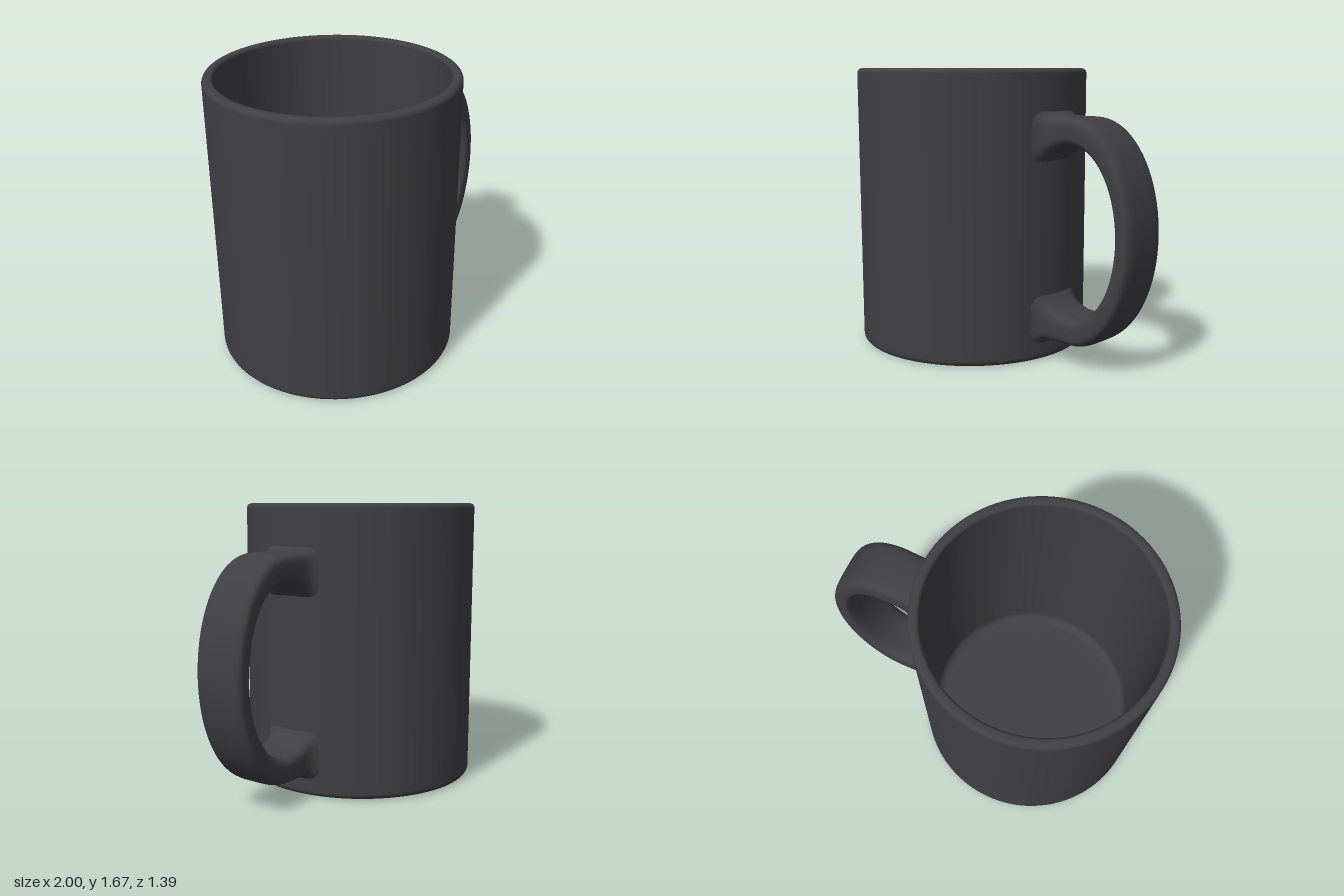
import * as THREE from 'three';

const ceramic = new THREE.MeshStandardMaterial({ color: 0x403f44 });
ceramic.name = 'charcoal ceramic';

const CUP_X = -0.303, RADIUS = 0.697, HEIGHT = 1.67;

// Rounded corner points on a lathe profile, from angle a0 to a1
function corner(cx, cy, r, a0, a1, steps = 6) {
  return Array.from({ length: steps + 1 }, (_, i) => {
    const a = THREE.MathUtils.degToRad(a0 + (a1 - a0) * i / steps);
    return new THREE.Vector2(cx + r * Math.cos(a), cy + r * Math.sin(a));
  });
}

// Hollow cup: recessed base, outer wall, rounded lip, inner wall and floor
function createCup() {
  const inner = 0.637;
  const profile = [
    new THREE.Vector2(0, 0.025),
    new THREE.Vector2(0.3, 0.025),
    new THREE.Vector2(0.54, 0.025),
    new THREE.Vector2(0.57, 0.02),
    new THREE.Vector2(0.6, 0.004),
    new THREE.Vector2(0.625, 0),
    ...corner(RADIUS - 0.035, 0.035, 0.035, -90, 0),
    new THREE.Vector2(RADIUS, 0.08),
    new THREE.Vector2(RADIUS, HEIGHT - 0.07),
    ...corner(RADIUS - 0.028, HEIGHT - 0.028, 0.028, 0, 90),
    ...corner(inner + 0.02, HEIGHT - 0.02, 0.02, 90, 180),
    new THREE.Vector2(inner, HEIGHT - 0.07),
    new THREE.Vector2(inner, 0.2),
    ...corner(inner - 0.06, 0.14, 0.06, 0, -90),
    new THREE.Vector2(0.5, 0.08),
    new THREE.Vector2(0, 0.08),
  ];
  const cup = new THREE.Mesh(new THREE.LatheGeometry(profile, 96), ceramic);
  cup.name = 'cup';
  cup.position.x = CUP_X;
  return cup;
}

// Handle sections: outer edge x,y, inner edge x,y, half width (y from the handle's middle)
function handleSections() {
  const top = [
    [0.335, 0.71, 0.335, 0.32, 0.225],
    [0.365, 0.69, 0.365, 0.355, 0.195],
    [0.39, 0.665, 0.39, 0.385, 0.17],
    [0.415, 0.648, 0.42, 0.418, 0.157],
    [0.46, 0.642, 0.465, 0.45, 0.153],
    [0.53, 0.64, 0.525, 0.473, 0.153],
  ];
  const bow = [];
  const steps = 40;
  for (let i = 0; i <= steps; i++) {
    const a = Math.PI / 2 - Math.PI * i / steps;
    const c = Math.cos(a), s = Math.sin(a);
    bow.push([0.6 + 0.4 * c, 0.64 * s, 0.585 + 0.305 * c, 0.48 * s, 0.155]);
  }
  const bottom = top.map(([ox, oy, ix, iy, w]) => [ox, -oy, ix, -iy, w]).reverse();
  return [...top, ...bow, ...bottom];
}

// Rounded-rectangle rings lofted along the handle
function createHandle() {
  const sections = handleSections(), sides = 40, midY = 0.768, midZ = 0.004;
  const positions = [], indices = [];
  const squircle = v => Math.sign(v) * Math.pow(Math.abs(v), 0.5);
  sections.forEach(([ox, oy, ix, iy, w], i) => {
    for (let j = 0; j < sides; j++) {
      const a = j / sides * Math.PI * 2;
      const t = (squircle(Math.cos(a)) + 1) / 2;
      positions.push(ix + (ox - ix) * t, midY + iy + (oy - iy) * t, midZ + w * squircle(Math.sin(a)));
      if (i === sections.length - 1) continue;
      const p = i * sides + j, q = i * sides + (j + 1) % sides;
      indices.push(p, q, p + sides, q, q + sides, p + sides);
    }
  });
  const geometry = new THREE.BufferGeometry();
  geometry.setAttribute('position', new THREE.Float32BufferAttribute(positions, 3));
  geometry.setIndex(indices);
  geometry.computeVertexNormals();
  const handle = new THREE.Mesh(geometry, ceramic);
  handle.name = 'handle';
  return handle;
}

export function createModel() {
  const mug = new THREE.Group();
  mug.name = 'mug';
  mug.add(createCup(), createHandle());
  return mug;
}
